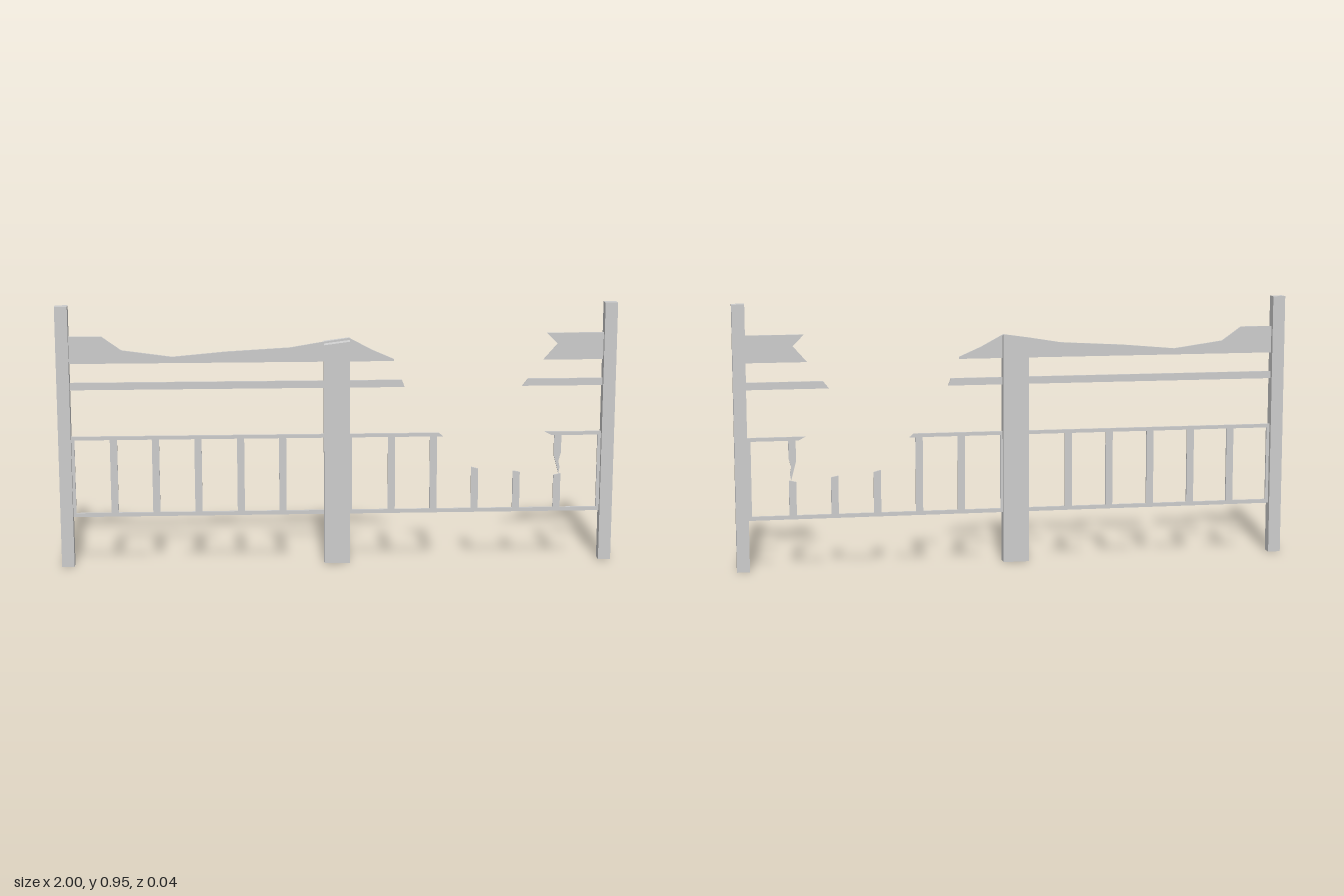
import * as THREE from 'three';

const T = 0.008; // panel thickness
const material = new THREE.MeshStandardMaterial({ color: 0xcccccc, flatShading: true });

export function createModel() {
  const model = new THREE.Group();

  const add = (name, geometry) => {
    const mesh = new THREE.Mesh(geometry, material);
    mesh.name = name;
    model.add(mesh);
    return mesh;
  };
  // Flat board cut from an outline in the xy plane, centred on z = 0
  const board = (name, points) => {
    const shape = new THREE.Shape(points.map(([x, y]) => new THREE.Vector2(x, y)));
    const geometry = new THREE.ExtrudeGeometry(shape, { depth: T, bevelEnabled: false });
    return add(name, geometry.translate(0, 0, -T / 2));
  };
  const post = (name, x0, x1, height) =>
    add(name, new THREE.BoxGeometry(x1 - x0, height, 0.04).translate((x0 + x1) / 2, height / 2, 0));

  // End posts
  post('rightPost', -1, -0.955, 0.95);
  post('leftPost', 0.955, 1, 0.95);

  // Centre post with a slanted, broken top
  const centre = post('centrePost', -0.05, 0.043, 0.81).geometry;
  const p = centre.attributes.position;
  for (let i = 0; i < p.count; i++) {
    if (p.getY(i) < 0.4) continue;
    p.setY(i, 0.805 + (p.getX(i) > 0 ? 0.012 : 0) + (p.getZ(i) < 0 ? 0.01 : 0));
  }
  centre.computeVertexNormals();

  // Splintered top board, in two remnants
  board('topBoardRight', [
    [-0.96, 0.743], [0.2, 0.743], [0.2, 0.75], [0.12, 0.785], [0.04, 0.828], [-0.05, 0.815],
    [-0.17, 0.795], [-0.4, 0.782], [-0.59, 0.765], [-0.77, 0.79], [-0.84, 0.84], [-0.96, 0.84],
  ]);
  board('topBoardLeft', [
    [0.74, 0.743], [0.96, 0.743], [0.96, 0.84], [0.75, 0.84], [0.79, 0.8],
  ]);

  // Middle rail, snapped
  board('middleRailRight', [[-0.96, 0.648], [0.24, 0.648], [0.23, 0.674], [-0.96, 0.674]]);
  board('middleRailLeft', [[0.665, 0.648], [0.96, 0.648], [0.96, 0.674], [0.685, 0.674]]);

  // Upper baluster rail, snapped
  board('upperRailRight', [[-0.96, 0.465], [0.38, 0.465], [0.365, 0.478], [-0.96, 0.478]]);
  board('upperRailLeft', [[0.775, 0.465], [0.96, 0.465], [0.96, 0.478], [0.75, 0.478]]);

  // Bottom rail, unbroken
  board('bottomRail', [[-0.96, 0.182], [0.96, 0.182], [0.96, 0.196], [-0.96, 0.196]]);

  // Balusters: whole ones, then broken stumps
  const baluster = (x, width, topLeft, topRight) => board('baluster', [
    [x - width / 2, 0.19], [x + width / 2, 0.19], [x + width / 2, topRight], [x - width / 2, topLeft],
  ]);
  for (const x of [-0.805, -0.655, -0.503, -0.35, -0.199, 0.194, 0.346]) baluster(x, 0.026, 0.47, 0.47);
  for (const x of [-0.95, 0.045, 0.949]) baluster(x, 0.012, 0.47, 0.47);
  baluster(0.497, 0.026, 0.35, 0.343);
  baluster(0.649, 0.026, 0.334, 0.329);
  baluster(0.798, 0.026, 0.316, 0.322);

  // Splinter hanging from the upper rail
  board('hangingSplinter', [[0.785, 0.47], [0.785, 0.39], [0.803, 0.322], [0.807, 0.345], [0.802, 0.37], [0.811, 0.4], [0.811, 0.47]]);

  return model;
}
